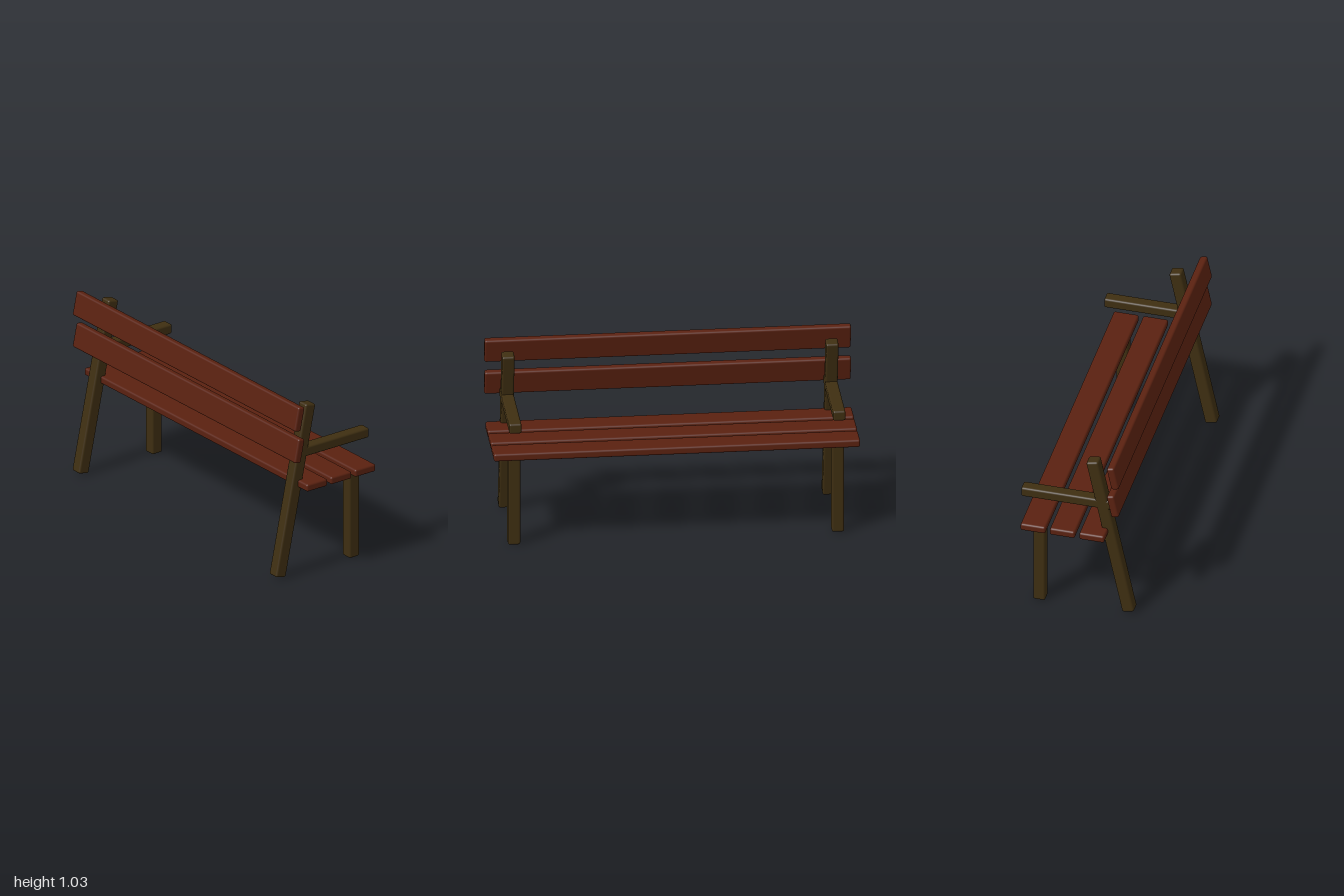
import * as THREE from 'three';
import { RoundedBoxGeometry } from 'three/addons/geometries/RoundedBoxGeometry.js';

export function createModel() {
  const bench = new THREE.Group();
  bench.name = 'bench';

  const slatWood = new THREE.MeshStandardMaterial({ color: 0x5a2110 });
  slatWood.name = 'red brown slat wood';
  const frameWood = new THREE.MeshStandardMaterial({ color: 0x3e2e11 });
  frameWood.name = 'dark olive frame wood';

  const tilt = -0.207; // lean of the backrest and rear legs

  // Timber with softened edges
  function beam(name, material, size, position, angle = 0) {
    const mesh = new THREE.Mesh(new RoundedBoxGeometry(...size, 2, 0.011), material);
    mesh.name = name;
    mesh.position.set(...position);
    mesh.rotation.x = angle;
    bench.add(mesh);
  }

  // Three seat slats
  for (const z of [-0.23, -0.065, 0.1]) {
    beam('seatSlat', slatWood, [2, 0.043, 0.14], [0, 0.539, z]);
  }

  // Two leaning back slats
  for (const y of [0.772, 0.96]) {
    beam('backSlat', slatWood, [2, 0.139, 0.043], [0, y, 0.218], tilt);
  }

  // Legs and armrest at each end
  for (const side of [-1, 1]) {
    const x = side * 0.884;
    beam('rearLeg', frameWood, [0.068, 0.994, 0.068], [x, 0.501, 0.182], tilt);
    beam('frontLeg', frameWood, [0.068, 0.53, 0.068], [x, 0.267, -0.217]);
    beam('armrest', frameWood, [0.068, 0.057, 0.528], [x, 0.714, -0.054]);
  }

  return bench;
}
